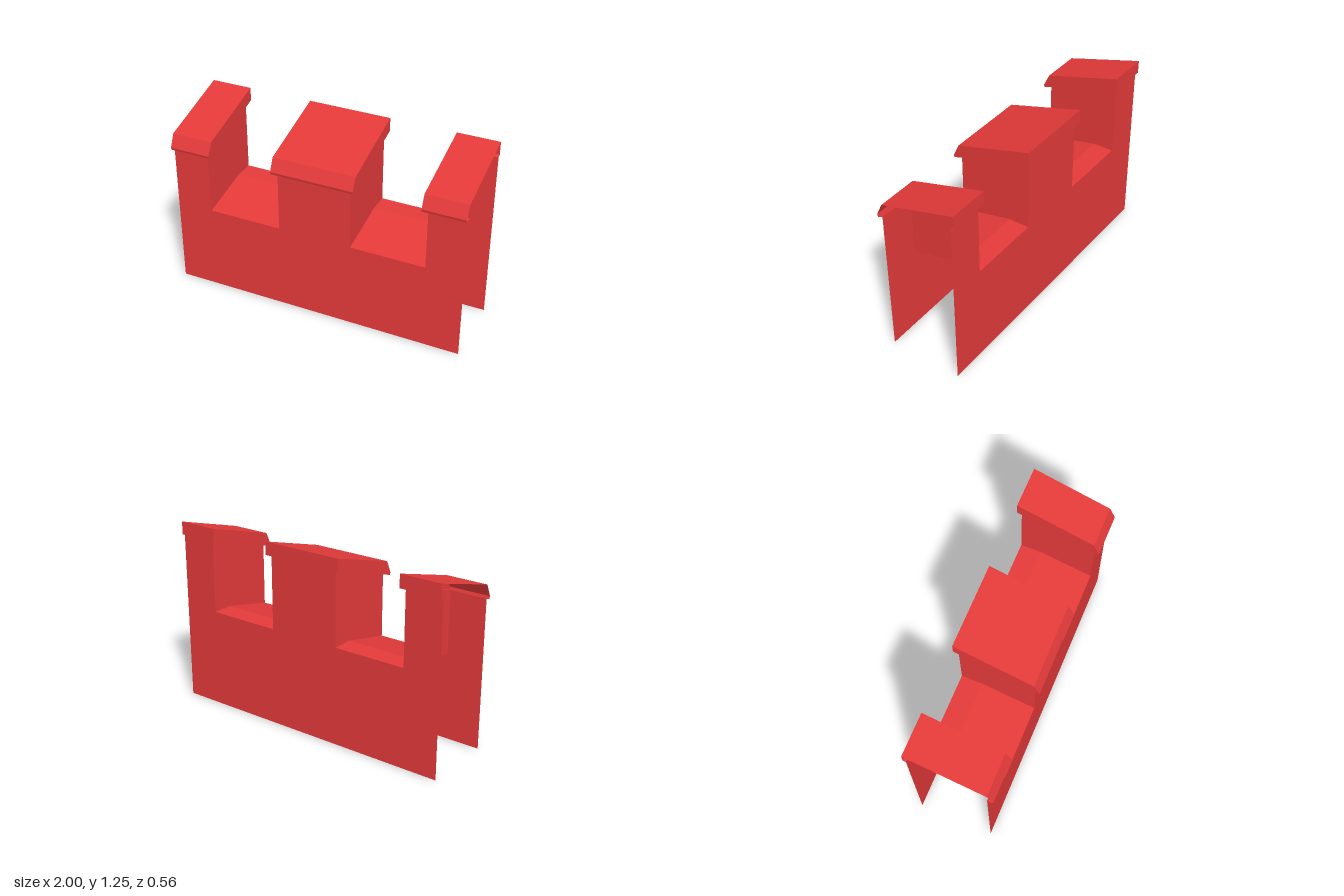
import * as THREE from 'three';

// Main dimensions
const FRONT = 0.24, BACK = -0.26;
const FLOOR = [[FRONT, 0.585], [-0.12, 0.668], [BACK, 0.668]];
const EAVE = [[FRONT, 1.01], [BACK, 1.157]];
const CAP = [EAVE[0], [0.275, 0.998], [0.28, 1.015], [FRONT, 1.1], [-0.28, 1.253], [-0.28, 1.165], EAVE[1]];
const LEDGE = 0.03;

export function createModel() {
  const model = new THREE.Group();
  model.name = 'battlementWall';
  const red = new THREE.MeshStandardMaterial({ color: 0xe53a3a, side: THREE.DoubleSide });

  function add(name, geometry, parent = model) {
    const mesh = new THREE.Mesh(geometry, red);
    mesh.name = name;
    parent.add(mesh);
  }

  const polygon = (points) => new THREE.ShapeGeometry(new THREE.Shape(points.map(([a, b]) => new THREE.Vector2(a, b))));

  // Open sheet: a (z, y) profile swept from x0 to x1
  function strip(profile, x0, x1) {
    const pos = [];
    for (let i = 0; i + 1 < profile.length; i++) {
      const [[z0, y0], [z1, y1]] = [profile[i], profile[i + 1]];
      pos.push(x0, y0, z0, x1, y0, z0, x0, y1, z1);
      pos.push(x1, y0, z0, x1, y1, z1, x0, y1, z1);
    }
    const geometry = new THREE.BufferGeometry();
    geometry.setAttribute('position', new THREE.Float32BufferAttribute(pos, 3));
    geometry.computeVertexNormals();
    return geometry;
  }

  // Flat (z, y) panel at x, facing +x or -x
  function sidePanel(profile, x, dir) {
    return polygon(profile.map(([z, y]) => [-dir * z, y])).rotateY(dir * Math.PI / 2).translate(x, 0, 0);
  }

  // Notched outline shared by the two faces
  const face = (notch, top) => polygon([
    [-1, 0], [1, 0], [1, top], [0.75, top], [0.75, notch], [0.25, notch], [0.25, top],
    [-0.25, top], [-0.25, notch], [-0.75, notch], [-0.75, top], [-1, top],
  ]);
  add('frontFace', face(FLOOR[0][1], EAVE[0][1]).translate(0, 0, FRONT));
  add('backFace', face(FLOOR[2][1], EAVE[1][1]).rotateY(Math.PI).translate(0, 0, BACK));

  // Sloping floors of the two gaps
  add('rightGapFloor', strip(FLOOR, -0.75, -0.25));
  add('leftGapFloor', strip(FLOOR, 0.25, 0.75));

  // Merlons with overhanging caps; the outer ends of the wall stay open
  const merlons = [['right', -1, -0.75], ['middle', -0.25, 0.25], ['left', 0.75, 1]];
  for (const [name, x0, x1] of merlons) {
    const merlon = new THREE.Group();
    merlon.name = name + 'Merlon';
    model.add(merlon);
    const sides = [[x0, -1], [x1, 1]].filter(([x]) => Math.abs(x) < 1);
    const c0 = x0 > -1 ? x0 - LEDGE : x0;
    const c1 = x1 < 1 ? x1 + LEDGE : x1;
    add('cap', strip(CAP, c0, c1), merlon);
    for (const [x, dir] of sides) {
      const edge = x + dir * LEDGE;
      add('merlonSide', sidePanel([...FLOOR, EAVE[1], EAVE[0]], x, dir), merlon);
      add('capSide', sidePanel(CAP, edge, dir), merlon);
      add('capLedge', strip([EAVE[1], EAVE[0]], Math.min(x, edge), Math.max(x, edge)), merlon);
    }
  }
  return model;
}
